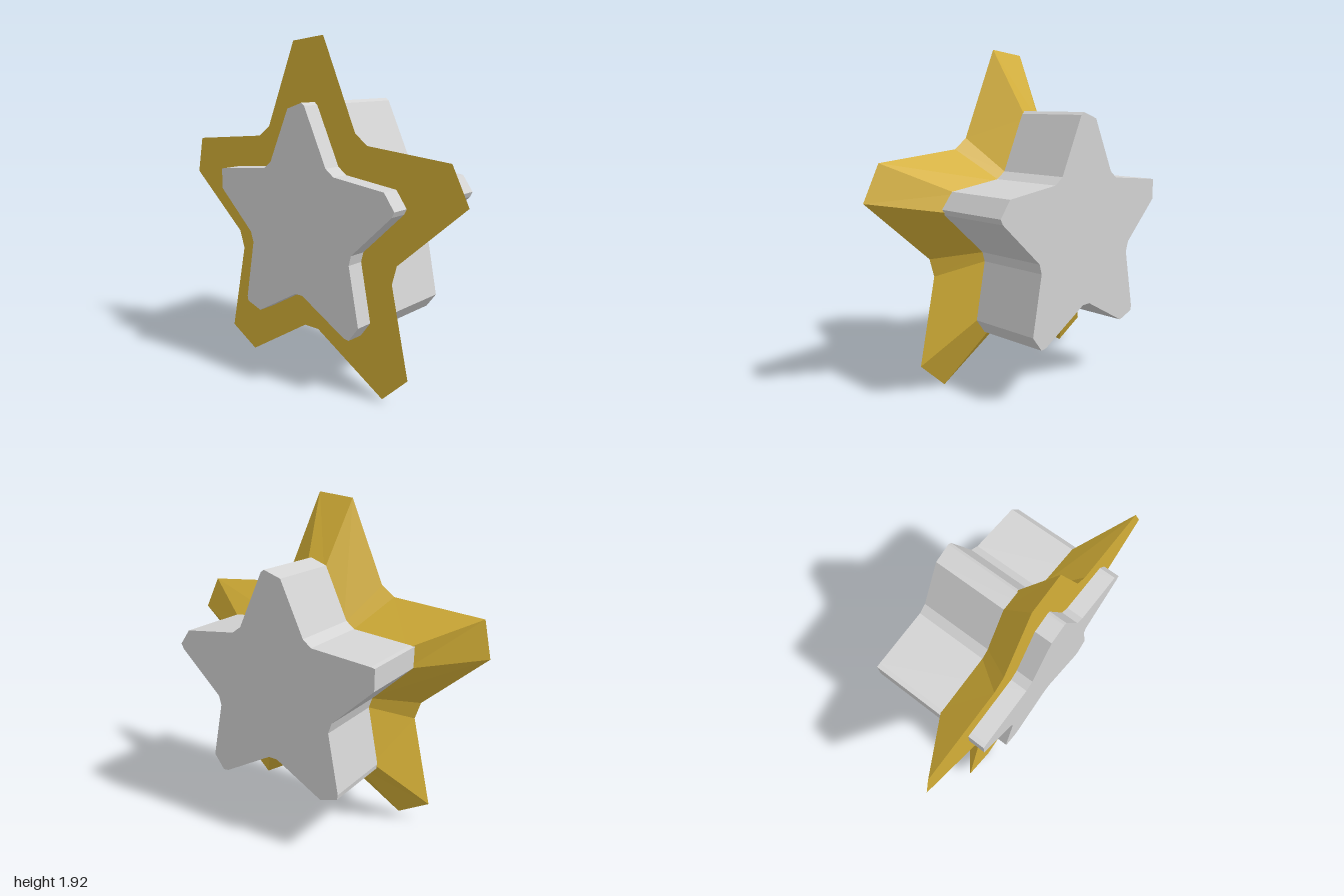
import * as THREE from 'three';

const BODY_DEPTH = 0.735;
const RIM_FRONT = 0.265; // z of the flat rim face
const RIM_BACK = 0.07; // z where the flare meets the body

// Body outline, clockwise from the top point
const bodyOutline = [
  [-0.08, 1.54], [0.025, 1.575], [0.045, 1.56], [0.195, 1.24], [0.25, 1.2],
  [0.58, 1.16], [0.645, 1.07], [0.63, 1.04], [0.37, 0.8], [0.355, 0.745],
  [0.42, 0.415], [0.355, 0.33], [0.32, 0.335], [0.015, 0.505], [-0.04, 0.505],
  [-0.335, 0.34], [-0.44, 0.375], [-0.445, 0.405], [-0.38, 0.75], [-0.4, 0.81],
  [-0.645, 1.04], [-0.645, 1.16], [-0.62, 1.165], [-0.27, 1.2], [-0.22, 1.24],
];

// Flared rim: front corner x, y, then the matching corner on the body
const rimCorners = [
  [-0.13, 1.9, -0.08, 1.54], [0.09, 1.925, 0.04, 1.565],
  [0.31, 1.425, 0.195, 1.24], [0.39, 1.365, 0.25, 1.2],
  [0.9, 1.32, 0.58, 1.16], [1.0, 1.12, 0.64, 1.055],
  [0.59, 0.765, 0.37, 0.8], [0.56, 0.66, 0.355, 0.745],
  [0.67, 0.16, 0.42, 0.415], [0.505, 0.005, 0.335, 0.33],
  [0.04, 0.285, 0.015, 0.505], [-0.065, 0.285, -0.04, 0.505],
  [-0.505, 0.02, -0.335, 0.34], [-0.7, 0.13, -0.445, 0.39],
  [-0.58, 0.66, -0.38, 0.75], [-0.615, 0.765, -0.4, 0.81],
  [-1.0, 1.1, -0.645, 1.04], [-0.955, 1.315, -0.635, 1.163],
  [-0.415, 1.365, -0.27, 1.2], [-0.335, 1.425, -0.22, 1.24],
];

const toPoints = (list) => list.map(([x, y]) => new THREE.Vector2(x, y));

// Sloping faces from the rim's front edge back into the body
function flareGeometry() {
  const reach = 1.08; // run slightly inside the body so no gap shows
  const front = rimCorners.map(([x, y]) => [x, y, RIM_FRONT]);
  const back = rimCorners.map(([x, y, bx, by]) => [
    x + (bx - x) * reach, y + (by - y) * reach, RIM_FRONT + (RIM_BACK - RIM_FRONT) * reach,
  ]);
  const positions = [];
  front.forEach((a, i) => {
    const j = (i + 1) % front.length;
    positions.push(...a, ...front[j], ...back[i], ...front[j], ...back[j], ...back[i]);
  });
  const geometry = new THREE.BufferGeometry();
  geometry.setAttribute('position', new THREE.Float32BufferAttribute(positions, 3));
  geometry.computeVertexNormals();
  return geometry;
}

export function createModel() {
  const silver = new THREE.MeshStandardMaterial({ color: 0xd3d3d3 });
  silver.name = 'silver';
  const gold = new THREE.MeshStandardMaterial({ color: 0xd4af37 });
  gold.name = 'gold';

  const model = new THREE.Group();
  model.name = 'star';
  const add = (name, geometry, material, parent = model) => {
    const mesh = new THREE.Mesh(geometry, material);
    mesh.name = name;
    parent.add(mesh);
    return mesh;
  };

  // Straight star-shaped body
  const bodyShape = new THREE.Shape(toPoints(bodyOutline));
  const body = new THREE.ExtrudeGeometry(bodyShape, { depth: BODY_DEPTH, bevelEnabled: false });
  add('starBody', body.translate(0, 0, -BODY_DEPTH / 2), silver);

  // Flared star rim around the body
  const rim = new THREE.Group();
  rim.name = 'starRim';
  model.add(rim);
  const faceShape = new THREE.Shape(toPoints(rimCorners));
  faceShape.holes.push(new THREE.Path(toPoints(bodyOutline)));
  add('rimFace', new THREE.ShapeGeometry(faceShape).translate(0, 0, RIM_FRONT), gold, rim);
  add('rimFlare', flareGeometry(), gold, rim);

  return model;
}
